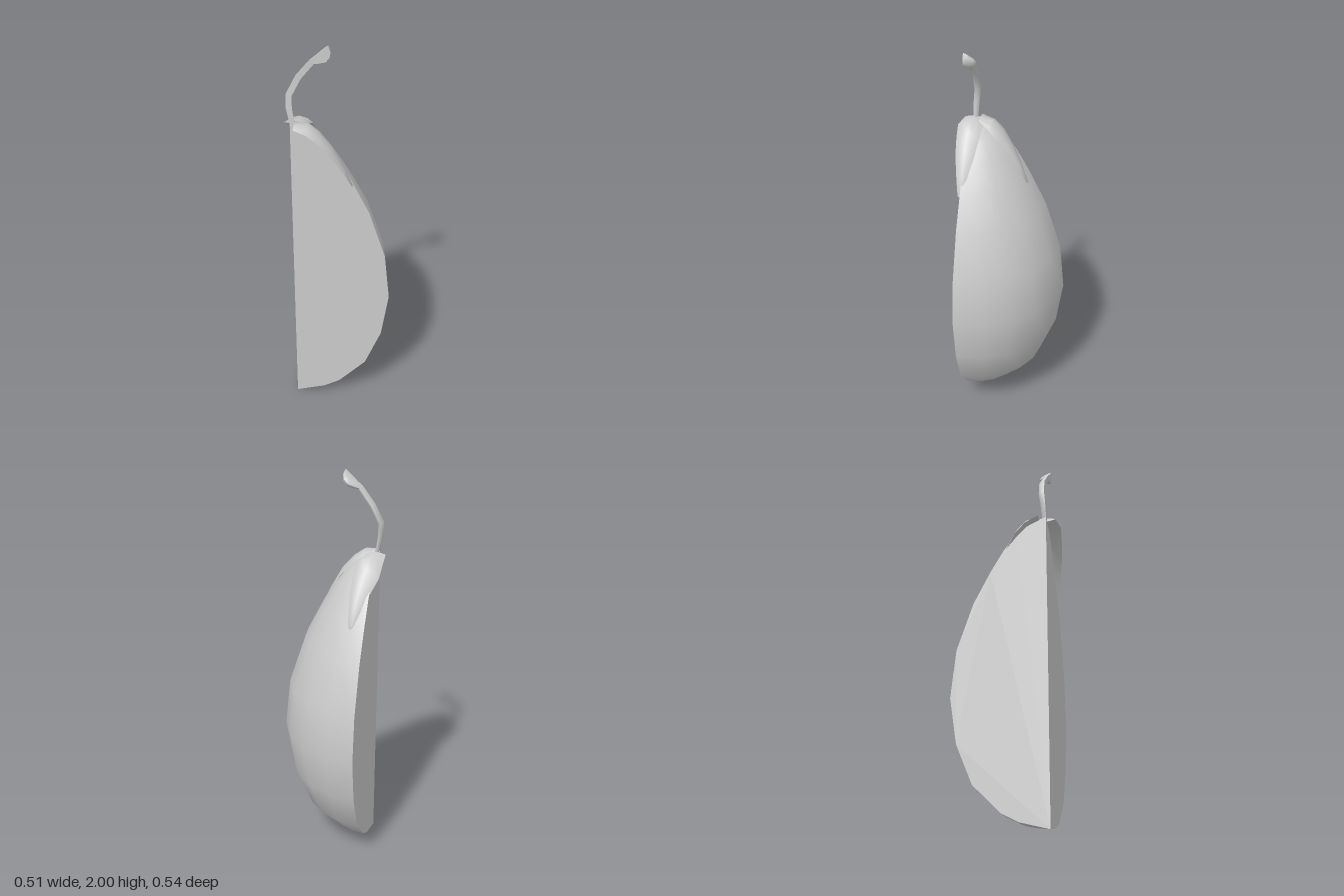
import * as THREE from 'three';
import { toCreasedNormals } from 'three/addons/utils/BufferGeometryUtils.js';

const AXIS_X = -0.22, CUT_Z = 0.207;

const material = new THREE.MeshStandardMaterial({ color: 0xcccccc, side: THREE.DoubleSide });

function addMesh(parent, name, geometry) {
  const mesh = new THREE.Mesh(geometry, material);
  mesh.name = name;
  parent.add(mesh);
  return mesh;
}

// Skins a list of equal-sized closed rings and caps both ends
function loft(rings, crease = 0.8) {
  const n = rings[0].length, last = (rings.length - 1) * n, index = [];
  for (let i = 0; i < rings.length - 1; i++) {
    for (let j = 0; j < n; j++) {
      const a = i * n + j, b = i * n + (j + 1) % n;
      index.push(a, b, a + n, b, b + n, a + n);
    }
  }
  for (let j = 1; j < n - 1; j++) {
    index.push(0, j + 1, j, last, last + j, last + j + 1);
  }
  const geometry = new THREE.BufferGeometry();
  geometry.setAttribute('position', new THREE.Float32BufferAttribute(rings.flat(2), 3));
  geometry.setIndex(index);
  return toCreasedNormals(geometry, crease);
}

// Leaf running outward along +x; stations are [radius, crest height, side shift, half width, edge drop]
function sepalGeometry(stations) {
  return loft(stations.map(([r, y, shift, w, drop]) => [
    [r, y, shift],
    [r, y - drop * 0.3, shift + w * 0.6],
    [r, y - drop, shift + w],
    [r, y - drop - 0.008, shift],
    [r, y - drop, shift - w],
    [r, y - drop * 0.3, shift - w * 0.6],
  ]));
}

export function createModel() {
  const model = new THREE.Group();
  model.name = 'quarteredFruit';

  const fruit = new THREE.Group();
  fruit.name = 'fruit';
  fruit.position.set(AXIS_X, 0, CUT_Z);
  model.add(fruit);

  // Quarter-turn skin around the core
  const profile = [
    [0, 0.005], [0.145, 0.045], [0.225, 0.09], [0.36, 0.23], [0.44, 0.43], [0.475, 0.665],
    [0.45, 0.91], [0.37, 1.155], [0.285, 1.325], [0.215, 1.445], [0.15, 1.53], [0.08, 1.585], [0, 1.61],
  ].map(([r, y]) => new THREE.Vector2(r, y));
  addMesh(fruit, 'skin', new THREE.LatheGeometry(profile, 5, Math.PI / 2, Math.PI / 2));

  // Two flat cut faces
  const cut = new THREE.ShapeGeometry(new THREE.Shape(profile));
  addMesh(fruit, 'frontCutFace', cut);
  addMesh(fruit, 'sideCutFace', cut).rotation.y = Math.PI / 2;

  // Sepals draped over the shoulder, one along each cut
  addMesh(fruit, 'frontSepal', sepalGeometry([
    [0.02, 1.612, 0.003, 0.042, 0.01],
    [0.08, 1.612, 0, 0.062, 0.025],
    [0.13, 1.575, 0, 0.057, 0.03],
    [0.19, 1.505, 0, 0.047, 0.03],
    [0.25, 1.395, 0, 0.027, 0.02],
    [0.288, 1.312, 0.004, 0.008, 0.008],
  ]));
  addMesh(fruit, 'backSepal', sepalGeometry([
    [0.035, 1.612, 0.01, 0.045, 0.01],
    [0.1, 1.605, 0.03, 0.066, 0.035],
    [0.15, 1.56, 0.033, 0.065, 0.04],
    [0.205, 1.485, 0.048, 0.048, 0.035],
    [0.25, 1.4, 0.06, 0.03, 0.025],
    [0.287, 1.315, 0.07, 0.011, 0.008],
  ])).rotation.y = Math.PI / 2;

  // Halved stem with a knob: [left x, left y, right x, right y, cut z, depth]
  const stem = [
    [-0.217, 1.6, -0.195, 1.6, 0.208, 0.022],
    [-0.236, 1.69, -0.208, 1.69, 0.207, 0.027],
    [-0.236, 1.757, -0.208, 1.75, 0.202, 0.03],
    [-0.19, 1.848, -0.166, 1.832, 0.197, 0.03],
    [-0.125, 1.928, -0.105, 1.91, 0.205, 0.028],
    [-0.108, 1.94, -0.085, 1.913, 0.206, 0.042],
    [-0.08, 1.965, -0.052, 1.921, 0.207, 0.058],
    [-0.058, 1.985, -0.035, 1.943, 0.207, 0.05],
    [-0.042, 2.0, -0.03, 1.967, 0.207, 0.025],
  ];
  const arcSteps = 6;
  addMesh(model, 'stem', loft(stem.map(([ax, ay, bx, by, z, depth]) =>
    Array.from({ length: arcSteps + 1 }, (_, k) => {
      const t = (k / arcSteps) * Math.PI, s = (1 + Math.cos(t)) / 2;
      return [ax + (bx - ax) * s, ay + (by - ay) * s, z - depth * Math.sin(t)];
    }))));

  return model;
}
